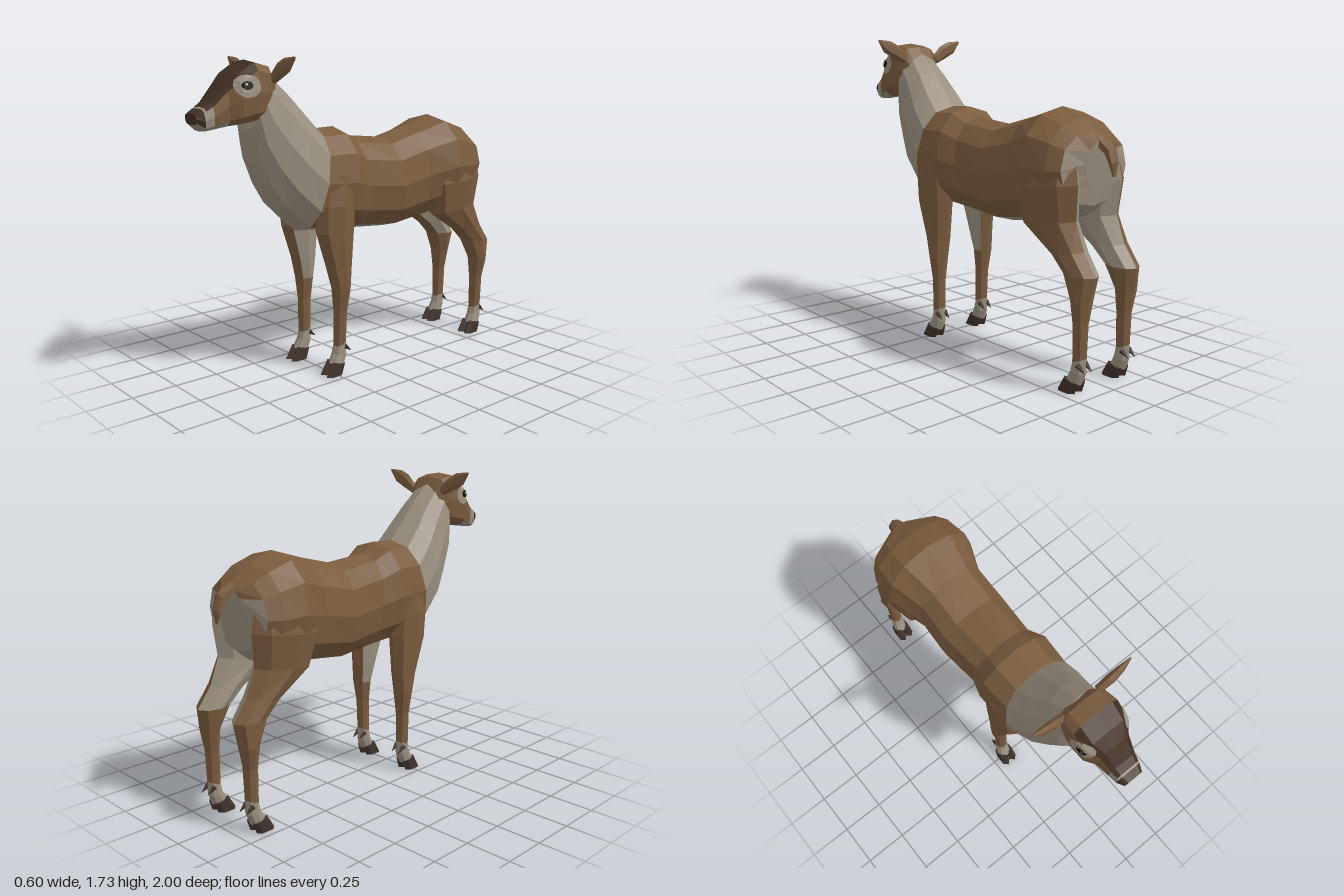
import * as THREE from 'three';

const mat = (name, color) => Object.assign(new THREE.MeshStandardMaterial({ color }), { name });
const BROWN = 0, CREAM = 1, DARK = 2, HOOF = 3, BLACK = 4, PALE = 5;
const palette = [
  mat('brown coat', 0x7b5c3e), mat('cream fur', 0x9a907f), mat('dark face', 0x422f23),
  mat('hoof', 0x40312a), mat('eye black', 0x17120f), mat('eye glint', 0xc8c4bc),
];

// Skin a row of sections [za, ya, zb, yb, x0, x1]: each ring runs round from point a
// over the +x side to point b and back. colour(segment, side) picks a palette index;
// segment -1 is the first cap.
function loft(name, sections, colour, { n = 8, e = 1, mirror = false } = {}) {
  const pw = (v) => Math.sign(v) * Math.pow(Math.abs(v) < 1e-9 ? 0 : Math.abs(v), e);
  const rings = sections.map(([za, ya, zb, yb, x0, x1]) => {
    if (mirror) [x0, x1] = [-x1, -x0];
    return Array.from({ length: n }, (_, i) => {
      const a = (i / n) * Math.PI * 2, c = pw(Math.cos(a)), s = pw(Math.sin(a));
      return [(x0 + x1) / 2 + ((x1 - x0) / 2) * s,
        (ya + yb) / 2 + ((ya - yb) / 2) * c, (za + zb) / 2 + ((za - zb) / 2) * c];
    });
  });
  const mid = (ring) => [0, 1, 2].map((k) => ring.reduce((t, p) => t + p[k], 0) / n);
  const buckets = palette.map(() => []);
  const last = rings.length - 1, start = mid(rings[0]), end = mid(rings[last]);
  for (let i = 0; i < n; i++) {
    const j = (i + 1) % n, side = mirror ? n - 1 - i : i;
    buckets[colour(-1, side)].push(...start, ...rings[0][i], ...rings[0][j]);
    for (let r = 0; r < last; r++) {
      const A = rings[r], B = rings[r + 1];
      buckets[colour(r, side)].push(...A[i], ...B[i], ...A[j], ...A[j], ...B[i], ...B[j]);
    }
    buckets[colour(last, side)].push(...end, ...rings[last][j], ...rings[last][i]);
  }
  const geo = new THREE.BufferGeometry();
  geo.setAttribute('position', new THREE.Float32BufferAttribute(buckets.flat(), 3));
  let at = 0;
  buckets.forEach((b, m) => {
    if (b.length) geo.addGroup(at, b.length / 3, m);
    at += b.length / 3;
  });
  geo.computeVertexNormals();
  const mesh = new THREE.Mesh(geo, palette);
  mesh.name = name;
  return mesh;
}

const symmetric = (rows) => rows.map(([za, ya, zb, yb, w]) => [za, ya, zb, yb, -w, w]);

// Torso and neck, rump to throat
function makeTorso() {
  const rows = symmetric([
    [-0.9, 1.235, -0.86, 1.0, 0.1],
    [-0.84, 1.275, -0.84, 0.9, 0.235],
    [-0.76, 1.33, -0.78, 0.84, 0.272],
    [-0.62, 1.38, -0.62, 0.8, 0.285],
    [-0.42, 1.32, -0.46, 0.77, 0.215],
    [-0.22, 1.27, -0.25, 0.745, 0.222],
    [0.03, 1.295, -0.02, 0.765, 0.2],
    [0.12, 1.35, 0.12, 0.78, 0.238],
    [0.27, 1.345, 0.38, 0.8, 0.225],
    [0.37, 1.45, 0.52, 0.925, 0.205],
    [0.46, 1.55, 0.6, 1.04, 0.172],
    [0.56, 1.64, 0.665, 1.19, 0.145],
    [0.6, 1.66, 0.69, 1.36, 0.125],
  ]);
  return loft('torsoAndNeck', rows, (r, i) => {
    if (r < 0 || r >= 8) return CREAM;
    if (r === 0) return i >= 2 && i <= 9 ? CREAM : BROWN;
    if (r === 1) return i >= 4 && i <= 7 ? CREAM : BROWN;
    return i === 5 || i === 6 ? CREAM : BROWN;
  }, { n: 12, e: 0.9 });
}

// Head, nape to nose
function makeHead() {
  const rows = symmetric([
    [0.56, 1.62, 0.6, 1.43, 0.11],
    [0.6, 1.69, 0.65, 1.41, 0.135],
    [0.69, 1.712, 0.7, 1.4, 0.145],
    [0.78, 1.655, 0.78, 1.39, 0.138],
    [0.84, 1.6, 0.83, 1.385, 0.097],
    [0.915, 1.515, 0.905, 1.375, 0.08],
    [0.952, 1.49, 0.94, 1.37, 0.073],
    [0.962, 1.483, 0.952, 1.37, 0.072],
    [1.0, 1.46, 0.992, 1.405, 0.055],
  ]);
  return loft('head', rows, (r, i) => {
    const top = i <= 1 || i >= 10, under = i >= 4 && i <= 7;
    if (r < 2) return BROWN;
    if (r >= 7) return r === 7 && under ? CREAM : DARK;
    if (r === 6) return CREAM;
    if (top) return DARK;
    return r === 5 || (r === 4 && under) ? CREAM : BROWN;
  }, { n: 12, e: 0.6 });
}

// Thin oval laid on the side of the head
function decal(name, head, s, cz, cy, rz, ry, lift, m) {
  const geo = new THREE.RingGeometry(0.001, 1, 12, 3);
  const pos = geo.attributes.position, ray = new THREE.Raycaster();
  for (let k = 0; k < pos.count; k++) {
    const z = cz - s * pos.getX(k) * rz, y = cy + pos.getY(k) * ry;
    ray.set(new THREE.Vector3(s, y, z), new THREE.Vector3(-s, 0, 0));
    const hit = ray.intersectObject(head)[0];
    pos.setXYZ(k, s * (Math.max(hit ? Math.abs(hit.point.x) : 0, 0.085) + lift), y, z);
  }
  const flat = geo.toNonIndexed();
  flat.computeVertexNormals();
  const mesh = new THREE.Mesh(flat, palette[m]);
  mesh.name = name;
  return mesh;
}

// Ear: a flattened leaf pointing out and up
function makeEar(s) {
  const ear = loft(s > 0 ? 'leftEar' : 'rightEar', [
    [-0.03, 0.025, -0.03, -0.03, -0.022, 0.022],
    [0.05, 0.045, 0.05, -0.038, -0.03, 0.02],
    [0.11, 0.04, 0.12, -0.04, -0.022, 0.014],
    [0.185, 0.006, 0.185, -0.006, -0.004, 0.004],
  ], () => BROWN, { n: 6, mirror: s < 0 });
  const out = new THREE.Vector3(s * 0.87, 0.49, 0), up = new THREE.Vector3(-s * 0.49, 0.87, 0);
  const basis = new THREE.Matrix4().makeBasis(up.clone().cross(out), up, out);
  ear.geometry.applyMatrix4(basis.setPosition(s * 0.135, 1.632, 0.59));
  ear.geometry.computeVertexNormals();
  return ear;
}

// Leg with pale pastern, cloven hoof and dewclaws; dz places the foot
function makeLeg(name, upper, dz, s, pale) {
  const leg = new THREE.Group();
  leg.name = name;
  const shift = (rows) => rows.map(([a, b, c, d, e, f]) => [a + dz, b, c + dz, d, e, f]);
  const pastern = shift([
    [0.24, 0.155, 0.17, 0.18, 0.125, 0.195],
    [0.25, 0.115, 0.172, 0.1, 0.12, 0.2],
    [0.278, 0.065, 0.19, 0.045, 0.122, 0.205],
  ]);
  leg.add(loft('limb', [...upper, ...pastern],
    (r, i) => (r >= upper.length || pale(r, i) ? CREAM : BROWN), { mirror: s < 0 }));
  for (const [x0, x1] of [[0.108, 0.163], [0.16, 0.215]]) {
    const c = (x0 + x1) / 2;
    leg.add(loft('hoofToe', shift([
      [0.276, 0.075, 0.19, 0.055, c - 0.023, c + 0.023],
      [0.32, 0, 0.208, 0, x0, x1],
    ]), () => HOOF, { n: 6, e: 0.8, mirror: s < 0 }));
    const claw = new THREE.Mesh(new THREE.ConeGeometry(0.016, 0.06, 5).toNonIndexed(), palette[HOOF]);
    claw.geometry.computeVertexNormals();
    claw.name = 'dewclaw';
    claw.position.set(s * c, 0.135, 0.167 + dz);
    claw.rotation.x = -2.2;
    leg.add(claw);
  }
  return leg;
}

export function createModel() {
  const model = new THREE.Group();
  model.name = 'deer';
  const head = makeHead();
  model.add(makeTorso(), head);

  // Tail
  model.add(loft('tail', symmetric([
    [-0.87, 1.19, -0.89, 1.255, 0.04],
    [-0.925, 1.15, -0.96, 1.205, 0.035],
    [-0.95, 1.1, -0.98, 1.13, 0.028],
    [-0.963, 1.055, -0.975, 1.06, 0.01],
  ]), () => BROWN, { n: 6 }));

  const frontUpper = [
    [0.33, 1.12, 0.1, 1.1, 0.12, 0.23],
    [0.365, 0.95, 0.11, 0.95, 0.08, 0.243],
    [0.36, 0.8, 0.11, 0.83, 0.08, 0.237],
    [0.285, 0.6, 0.135, 0.6, 0.095, 0.225],
    [0.25, 0.48, 0.15, 0.48, 0.11, 0.223],
    [0.24, 0.35, 0.165, 0.35, 0.125, 0.2],
  ];
  const hindUpper = [
    [-0.55, 1.2, -0.85, 1.18, 0.05, 0.25],
    [-0.47, 0.98, -0.885, 1.02, 0.04, 0.277],
    [-0.52, 0.8, -0.865, 0.84, 0.05, 0.245],
    [-0.73, 0.67, -0.92, 0.7, 0.065, 0.228],
    [-0.81, 0.595, -1.0, 0.59, 0.075, 0.225],
    [-0.875, 0.475, -0.972, 0.46, 0.1, 0.225],
    [-0.88, 0.35, -0.955, 0.35, 0.12, 0.2],
  ];
  for (const s of [1, -1]) {
    const side = s > 0 ? 'left' : 'right';
    model.add(
      makeLeg(side + 'FrontLeg', frontUpper, 0, s, (r, i) => r < 4 && (i === 5 || i === 6)),
      makeLeg(side + 'HindLeg', hindUpper, -1.12, s, (r, i) => r < 4 && i >= 4 && i <= 6),
      makeEar(s),
      decal(side + 'EyePatch', head, s, 0.752, 1.586, 0.066, 0.056, 0.006, CREAM),
      decal(side + 'Eye', head, s, 0.762, 1.59, 0.03, 0.021, 0.012, BLACK),
      decal(side + 'EyeGlint', head, s, 0.768, 1.596, 0.008, 0.006, 0.015, PALE),
    );
  }
  return model;
}
